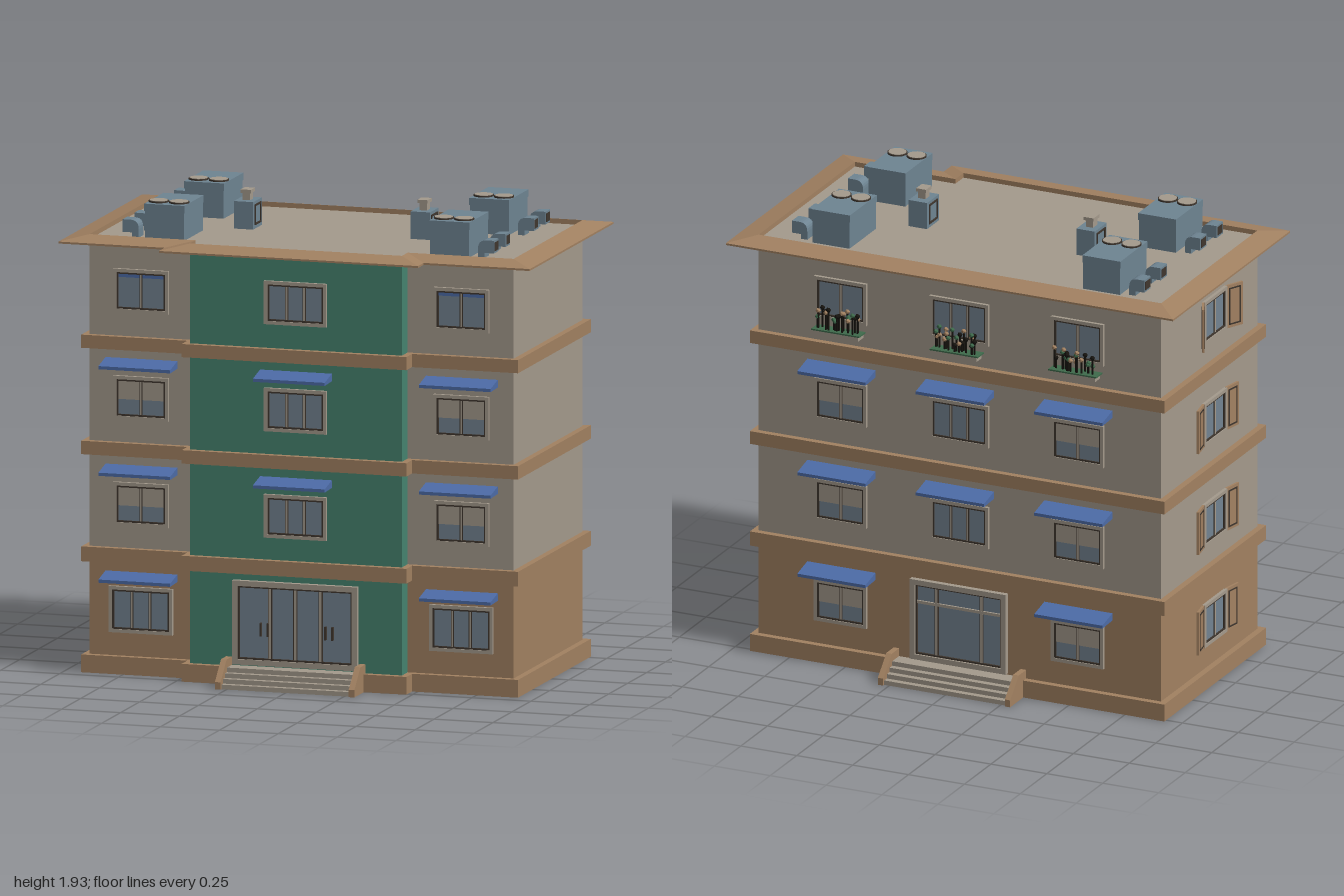
import * as THREE from 'three';

const mat = (name, color, side = THREE.FrontSide) => {
  const m = new THREE.MeshStandardMaterial({ color, side });
  m.name = name;
  return m;
};

export function createModel() {
  const model = new THREE.Group();
  model.name = 'building';
  const D = THREE.DoubleSide;
  const brown = mat('brown stone', 0xa38262, D), taupe = mat('taupe plaster', 0xa59b8d, D);
  const green = mat('green plaster', 0x468470, D), glass = mat('blue grey glass', 0x748492);
  const steel = mat('roof steel', 0x6f8593), blue = mat('awning blue', 0x4d6ca8);
  const dark = mat('dark trim', 0x40372f), leaf = mat('leaf green', 0x3f6b4c);
  const black = mat('black stems', 0x17140f);

  const add = (parent, name, geo, material, x = 0, y = 0, z = 0) => {
    const m = new THREE.Mesh(geo, material);
    m.name = name;
    m.position.set(x, y, z);
    parent.add(m);
    return m;
  };
  const box = (parent, name, material, w, h, d, x, y, z) =>
    add(parent, name, new THREE.BoxGeometry(w, h, d), material, x, y, z);
  const group = (parent, name, x, y, z, ry = 0) => {
    const g = new THREE.Group();
    g.name = name;
    g.position.set(x, y, z);
    g.rotation.y = ry;
    parent.add(g);
    return g;
  };

  // Footprint with a projecting centre bay, grown outward by o
  const footprint = (o) => {
    const X = 0.9 + o, b = 0.45 + o, f = 0.415 + o, F = 0.49 + o, B = -0.49 - o;
    return [[-X, f], [-b, f], [-b, F], [b, F], [b, f], [X, f], [X, B], [-X, B]];
  };
  // Skin running round the footprint through [offset, height] levels
  const skin = (levels, edges = [0, 1, 2, 3, 4, 5, 6, 7]) => {
    const pos = [];
    for (let l = 0; l + 1 < levels.length; l++) {
      const [o0, y0] = levels[l], [o1, y1] = levels[l + 1];
      const lo = footprint(o0), hi = footprint(o1);
      for (const i of edges) {
        const j = (i + 1) % 8;
        const a = [lo[i][0], y0, lo[i][1]], b = [lo[j][0], y0, lo[j][1]];
        const c = [hi[j][0], y1, hi[j][1]], d = [hi[i][0], y1, hi[i][1]];
        pos.push(...a, ...b, ...c, ...a, ...c, ...d);
      }
    }
    const g = new THREE.BufferGeometry();
    g.setAttribute('position', new THREE.Float32BufferAttribute(pos, 3));
    g.computeVertexNormals();
    return g;
  };

  // Walls, string courses and roof
  const sides = [0, 4, 5, 6, 7];
  add(model, 'groundFloorWalls', skin([[0, 0.03], [0, 0.48]], sides), brown);
  add(model, 'upperWalls', skin([[0, 0.48], [0, 1.775]], sides), taupe);
  add(model, 'centreBayWalls', skin([[0, 0.03], [0, 1.775]], [1, 2, 3]), green);
  for (const [y0, y1] of [[0, 0.073], [0.456, 0.517], [0.896, 0.951], [1.333, 1.387]])
    add(model, 'stringCourse', skin([[0, y0], [0.027, y0], [0.027, y1], [0, y1]]), brown);
  add(model, 'eaves', skin([[0, 1.77], [0.1, 1.77], [0.1, 1.778], [0, 1.797], [0, 1.775]]), brown);
  const deck = new THREE.Shape(footprint(0).map(([x, z]) => new THREE.Vector2(x, -z)));
  add(model, 'roofDeck', new THREE.ShapeGeometry(deck).rotateX(-Math.PI / 2), taupe, 0, 1.777, 0);

  // Rectangular frame of bar width t and depth d
  const frame = (w, h, t, d) => {
    const rect = (S, a, b) => new S().moveTo(-a, -b).lineTo(a, -b).lineTo(a, b).lineTo(-a, b).closePath();
    const s = rect(THREE.Shape, w / 2, h / 2);
    s.holes.push(rect(THREE.Path, w / 2 - t, h / 2 - t));
    return new THREE.ExtrudeGeometry(s, { depth: d, bevelEnabled: false });
  };
  // Window facing +z: trim, dark sash, glass, mullions and an optional blind
  const windowUnit = (g, w, h, panes, blind) => {
    add(g, 'windowFrame', frame(w, h, 0.014, 0.02), taupe, 0, 0, -0.006);
    add(g, 'windowSash', frame(w - 0.028, h - 0.028, 0.007, 0.015), dark, 0, 0, -0.005);
    box(g, 'windowGlass', glass, w - 0.03, h - 0.03, 0.008, 0, 0, 0);
    const iw = w - 0.042, ih = h - 0.042;
    if (blind === 'shade') box(g, 'windowBlind', taupe, iw, ih * 0.55, 0.003, 0, ih * 0.225, 0.0045);
    if (blind === 'valance') box(g, 'windowValance', blue, iw, ih * 0.1, 0.003, 0, ih * 0.45, 0.0045);
    for (let i = 1; i < panes; i++) {
      const x = -iw / 2 + (iw * i) / panes;
      box(g, 'mullionEdge', dark, 0.013, ih, 0.012, x, 0, 0.002);
      box(g, 'mullion', taupe, 0.007, ih, 0.016, x, 0, 0.002);
    }
  };
  // Sloping awning, drawn as a side profile and swept across the window
  const awningShape = new THREE.Shape([[0, -0.015], [0.095, -0.018], [0.095, -0.005], [0, 0.016]]
    .map(([x, y]) => new THREE.Vector2(x, y)));
  const awning = (g, y) => add(g, 'awning', new THREE.ExtrudeGeometry(awningShape,
    { depth: 0.305, bevelEnabled: false }).translate(0, 0, -0.1525).rotateY(-Math.PI / 2), blue, 0, y, 0);

  // Planter with stems, leaves and blossoms
  let seed = 7;
  const rnd = () => (seed = (seed * 16807) % 2147483647) / 2147483647;
  const planter = (g) => {
    box(g, 'planterBox', taupe, 0.2, 0.022, 0.05, 0, -0.135, 0.03);
    box(g, 'planterRim', leaf, 0.215, 0.006, 0.058, 0, -0.124, 0.03);
    for (let i = 0; i < 22; i++) {
      const x = (rnd() - 0.5) * 0.19, h = 0.03 + rnd() * 0.06, z = 0.018 + rnd() * 0.03;
      box(g, 'stem', black, 0.006, h, 0.006, x, -0.122 + h / 2, z);
      add(g, 'blossom', new THREE.IcosahedronGeometry(0.011, 0), [brown, leaf, black][i % 3],
        x, -0.122 + h, z);
    }
  };

  // Windows, floor by floor
  const floors = [0.264, 0.698, 1.135, 1.575], awnings = [0.403, 0.842, 1.28];
  floors.forEach((y, f) => {
    const blind = [null, 'shade', 'shade', 'valance'][f];
    for (const x of [-0.68, 0, 0.68]) {
      if (x === 0 && f === 0) continue;
      const g = group(model, 'frontWindow', x, y, x === 0 ? 0.49 : 0.415);
      if (x === 0) windowUnit(g, 0.265, 0.178, 3);
      else windowUnit(g, f === 0 ? 0.27 : 0.235, f === 0 ? 0.19 : 0.178, f === 0 ? 3 : 2, blind);
      if (f < 3) awning(g, awnings[f] - y);
    }
    for (const x of [-0.53, 0, 0.53]) {
      if (x === 0 && f === 0) continue;
      const g = group(model, 'backWindow', x, y, -0.49, Math.PI);
      windowUnit(g, x === 0 ? 0.265 : 0.235, 0.18, x === 0 ? 3 : 2, x !== 0 && f < 3 ? 'shade' : null);
      if (f < 3) awning(g, awnings[f] - y);
      else planter(g);
    }
    // Shuttered window on the right wall
    const g = group(model, 'sideWindow', -0.9, y, 0, -Math.PI / 2);
    windowUnit(g, 0.21, 0.185, 2);
    for (const s of [-1, 1]) {
      const hinge = group(g, 'shutter', s * 0.105, 0, 0.006, -s * (f === 3 ? 0.45 : 0.18));
      box(hinge, 'shutterPanel', brown, 0.085, 0.185, 0.01, s * 0.043, 0, 0);
      add(hinge, 'shutterFrame', frame(0.06, 0.16, 0.006, 0.014), dark, s * 0.043, 0, -0.007);
    }
  });

  // Front and back entrances with steps
  const cheek = new THREE.Shape([[0, 0], [0.15, 0], [0.15, 0.03], [0.07, 0.11], [0, 0.11]]
    .map(([x, y]) => new THREE.Vector2(x, y)));
  const entrance = (name, z, ry, w, mullions) => {
    const g = group(model, name, 0, 0, z, ry);
    add(g, 'doorFrame', frame(w, 0.345, 0.022, 0.03), taupe, 0, 0.255, -0.008);
    add(g, 'doorSash', frame(w - 0.044, 0.301, 0.007, 0.02), dark, 0, 0.255, -0.006);
    box(g, 'doorGlass', glass, w - 0.04, 0.3, 0.01, 0, 0.255, 0);
    for (const x of mullions) {
      box(g, 'doorMullionEdge', dark, 0.017, 0.295, 0.014, x, 0.255, 0.003);
      box(g, 'doorMullion', taupe, 0.01, 0.295, 0.018, x, 0.255, 0.003);
    }
    for (let i = 0; i < 4; i++)
      box(g, 'step', taupe, 0.545, 0.019, 0.14 - i * 0.025, 0, 0.0095 + i * 0.019, (0.14 - i * 0.025) / 2);
    for (const s of [-1, 1])
      add(g, 'stepCheek', new THREE.ExtrudeGeometry(cheek, { depth: 0.024, bevelEnabled: false })
        .translate(0, 0, -0.012).rotateY(-Math.PI / 2), brown, s * 0.284, 0, 0);
    return g;
  };
  const front = entrance('frontEntrance', 0.49, 0, 0.53, [-0.107, 0, 0.107]);
  for (const x of [-0.145, -0.115, 0.13, 0.16])
    box(front, 'doorHandle', dark, 0.007, 0.055, 0.014, x, 0.23, 0.015);
  const back = entrance('backEntrance', -0.49, Math.PI, 0.43, [-0.1, 0.1]);
  box(back, 'doorTransom', taupe, 0.39, 0.012, 0.02, 0, 0.33, 0.003);

  // Rooftop cooling units, elbow ducts and vents
  const elbow = new THREE.Shape();
  elbow.moveTo(0, 0).lineTo(0.028, 0).lineTo(0.028, 0.02).lineTo(0.068, 0.02).lineTo(0.068, 0.072)
    .lineTo(0.035, 0.072).quadraticCurveTo(0, 0.072, 0, 0.035);
  const elbowGeo = new THREE.ExtrudeGeometry(elbow, { depth: 0.06, bevelEnabled: false, curveSegments: 6 })
    .translate(0, 0, -0.03);
  for (const s of [-1, 1]) {
    for (const z of [-0.305, 0.22]) {
      const unit = group(model, 'coolingUnit', s * 0.605, 1.777, z);
      box(unit, 'unitBody', steel, 0.165, 0.115, 0.25, 0, 0.0575, 0);
      box(unit, 'unitLid', steel, 0.17, 0.03, 0.255, 0, 0.13, 0);
      for (const x of [-0.043, 0.043]) {
        add(unit, 'fanRing', new THREE.CylinderGeometry(0.041, 0.041, 0.008, 20), dark, x, 0.147, 0.065);
        add(unit, 'fanCover', new THREE.CylinderGeometry(0.037, 0.037, 0.01, 20), taupe, x, 0.148, 0.065);
      }
      for (const dz of [-0.077, 0.077]) {
        const duct = group(unit, 'elbowDuct', s * 0.115, 0, dz, s > 0 ? 0 : Math.PI);
        add(duct, 'ductBody', elbowGeo, steel);
        box(duct, 'ductMouth', dark, 0.003, 0.036, 0.045, 0.068, 0.046, 0);
      }
    }
    const vent = group(model, 'roofVent', s * 0.375, 1.777, -0.04);
    box(vent, 'ventBody', steel, 0.082, 0.113, 0.113, 0, 0.0565, 0);
    for (const t of [-1, 1]) {
      const side = group(vent, 'ventPanel', t * 0.041, 0.058, 0, (t * Math.PI) / 2);
      add(side, 'ventPanelFrame', frame(0.08, 0.085, 0.008, 0.004), dark);
    }
    box(vent, 'ventPipe', taupe, 0.032, 0.035, 0.04, 0, 0.128, 0);
    box(vent, 'ventCap', taupe, 0.044, 0.014, 0.055, 0, 0.15, 0);
  }
  return model;
}
